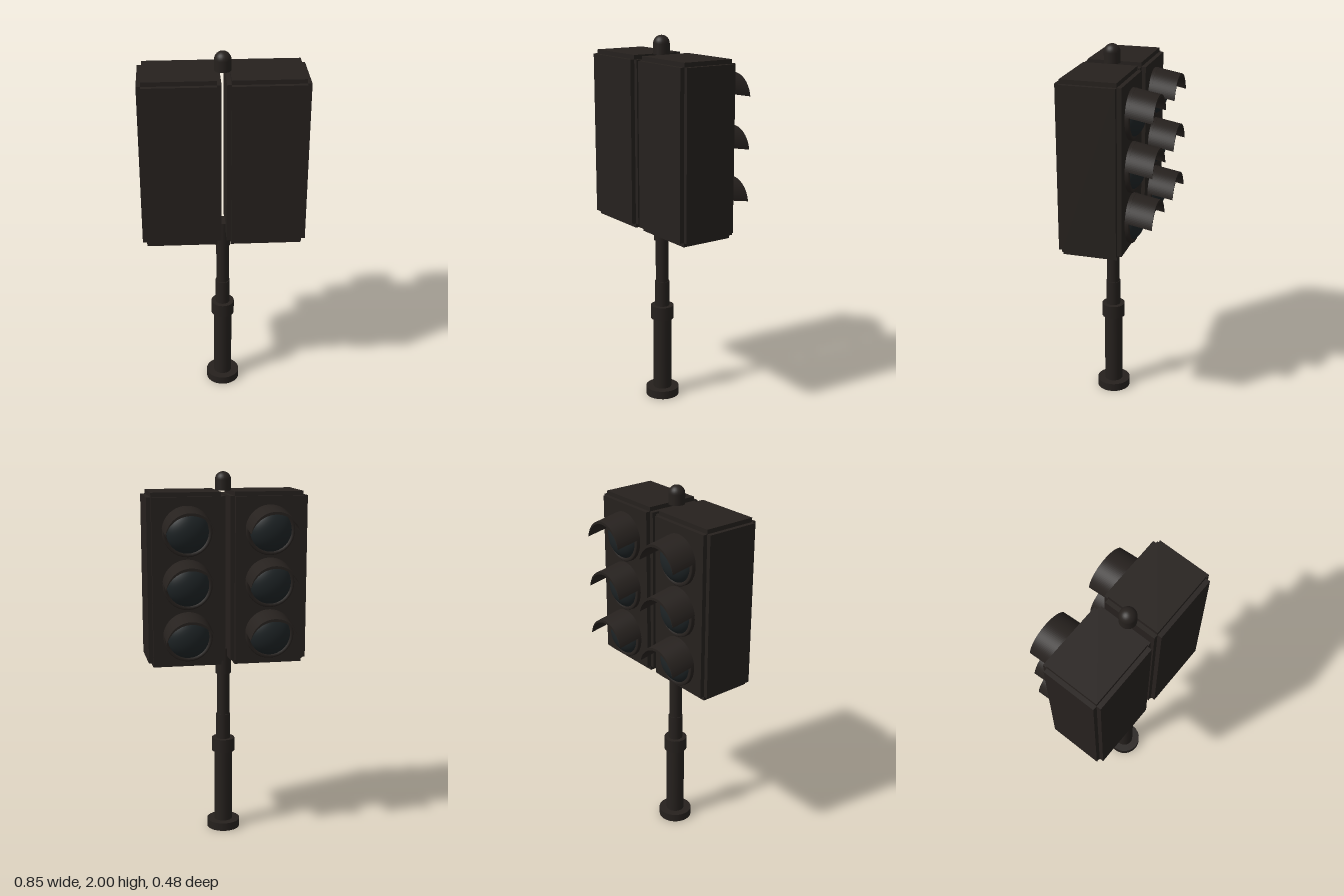
import * as THREE from 'three';

const dark = new THREE.MeshStandardMaterial({ color: 0x26211e });
const glass = new THREE.MeshStandardMaterial({ color: 0x1e2426 });
const POLE_Z = 0.07, BACK_Z = -0.098;

function add(parent, name, geometry, material = dark) {
  const mesh = new THREE.Mesh(geometry, material);
  mesh.name = name;
  parent.add(mesh);
  return mesh;
}

// Upright cylinder between two heights
function tube(parent, name, rBottom, rTop, y0, y1) {
  const mesh = add(parent, name, new THREE.CylinderGeometry(rTop, rBottom, y1 - y0, 24));
  mesh.position.set(0, (y0 + y1) / 2, POLE_Z);
}

// Crescent hood, tapering to points at its sides and sloping down outwards
function visorGeometry() {
  const R = 0.1315, a = 0.15, length = 0.142, thick = 0.014;
  const tipX = R * Math.cos(a), tipY = R * Math.sin(a);
  // inner arc runs through both tips and a point just below the crown
  const h = R - thick - tipY;
  const r = (tipX * tipX + h * h) / (2 * h), cy = tipY + h - r;
  const b = Math.atan2(tipY - cy, tipX);
  const shape = new THREE.Shape();
  shape.absarc(0, 0, R, a, Math.PI - a, false);
  shape.absarc(0, cy, r, Math.PI - b, b, true);
  const geo = new THREE.ExtrudeGeometry(shape, { depth: length, bevelEnabled: false, curveSegments: 24 });
  const p = geo.attributes.position;
  for (let i = 0; i < p.count; i++) p.setY(i, p.getY(i) - p.getZ(i) * 0.18);
  geo.computeVertexNormals();
  return geo;
}

// One signal lamp, built facing +z
function lamp(visor) {
  const g = new THREE.Group();
  g.name = 'lamp';
  const profile = [[0.13, 0], [0.13, 0.018], [0.126, 0.022], [0.112, 0.022], [0.108, 0.012], [0.108, 0]];
  const bezel = new THREE.LatheGeometry(profile.map(([x, y]) => new THREE.Vector2(x, y)), 32);
  const ring = add(g, 'lampBezel', bezel);
  ring.rotation.x = Math.PI / 2;
  const lens = add(g, 'lens', new THREE.SphereGeometry(0.116, 32, 10, 0, Math.PI * 2, 0, Math.PI / 2), glass);
  lens.rotation.x = Math.PI / 2;
  lens.scale.y = 0.07 / 0.116;
  add(g, 'visor', visor);
  return g;
}

// Signal box with stepped edges and three lamps
function signalHead(side, visor) {
  const g = new THREE.Group();
  g.name = side > 0 ? 'leftSignalHead' : 'rightSignalHead';
  const core = [0.366, 0.87, 0.288], grow = [0.046, 0.045, 0.047];
  ['sidePanels', 'endPanels', 'facePanels'].forEach((name, axis) => {
    const size = core.map((s, i) => (i === axis ? s + grow[i] : s));
    add(g, name, new THREE.BoxGeometry(...size)).position.set(0, 1.445, 0.07);
  });
  for (let i = 0; i < 3; i++) {
    const l = lamp(visor);
    l.position.set(0, 1.705 - i * 0.276, BACK_Z + 0.001);
    l.rotation.y = Math.PI;
    g.add(l);
  }
  g.position.x = side * 0.219;
  return g;
}

export function createModel() {
  const model = new THREE.Group();
  model.name = 'trafficSignal';

  // Pole
  tube(model, 'baseDisc', 0.092, 0.092, 0, 0.045);
  tube(model, 'lowerPole', 0.05, 0.05, 0.045, 0.46);
  tube(model, 'poleCollar', 0.063, 0.063, 0.455, 0.53);
  tube(model, 'middlePole', 0.039, 0.039, 0.53, 0.67);
  tube(model, 'upperPole', 0.035, 0.035, 0.67, 0.91);
  tube(model, 'headSocket', 0.043, 0.043, 0.905, 1.05);

  // Domed cap
  tube(model, 'capBody', 0.043, 0.043, 1.902, 1.957);
  const dome = add(model, 'capDome', new THREE.SphereGeometry(0.043, 24, 8, 0, Math.PI * 2, 0, Math.PI / 2));
  dome.position.set(0, 1.957, POLE_Z);

  // Twin signal heads
  const visor = visorGeometry();
  for (const side of [-1, 1]) model.add(signalHead(side, visor));
  return model;
}
